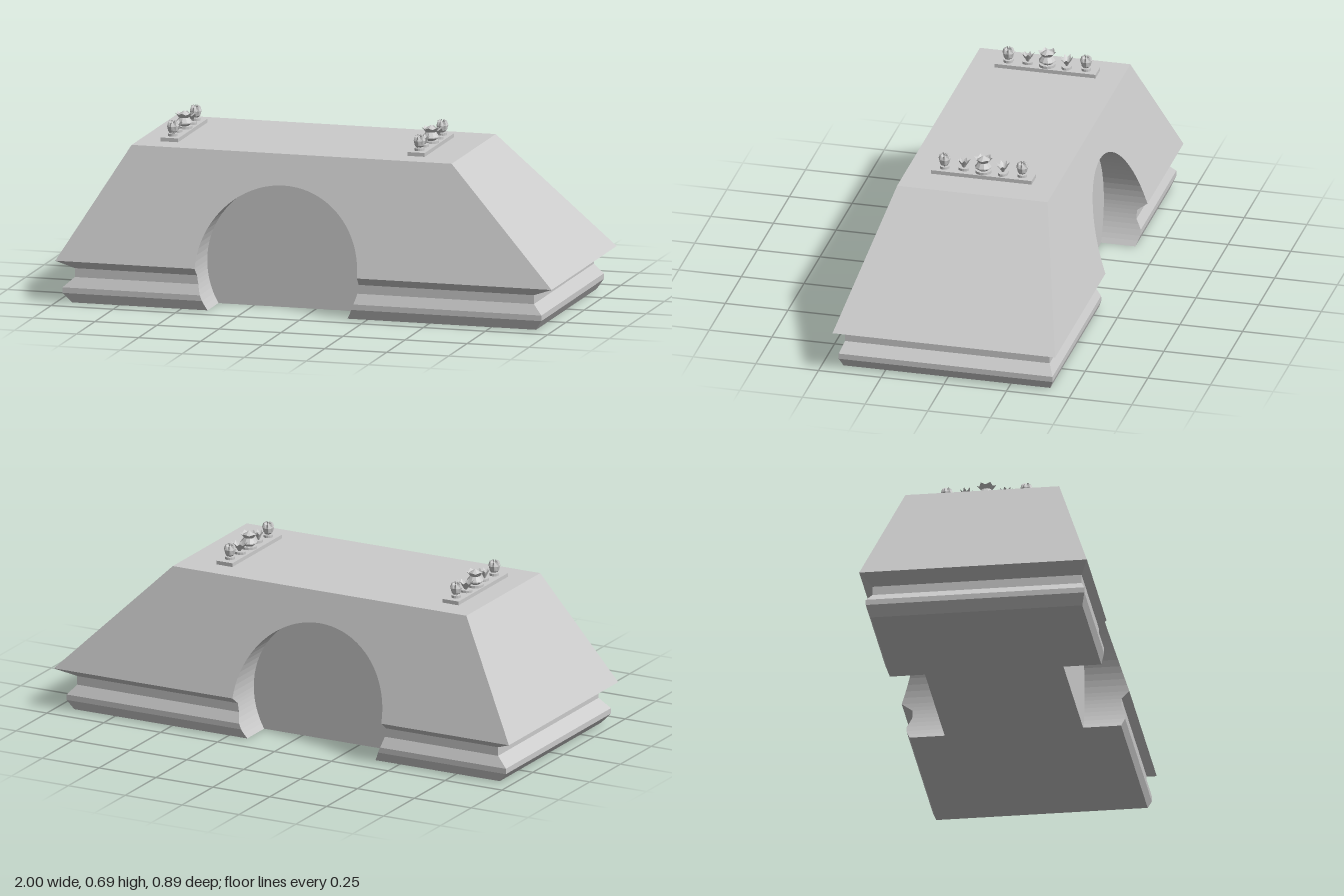
import * as THREE from 'three';

const material = new THREE.MeshStandardMaterial({ color: 0xcccccc, flatShading: true });
const thinMaterial = new THREE.MeshStandardMaterial({ color: 0xcccccc, flatShading: true, side: THREE.DoubleSide });

// Hull outline by height: [y, xLeftEdge, xRightEdge, zFront, zBack]
const PROFILE = [
  [0, -0.94, 0.93, 0.418, -0.407],
  [0.038, -0.975, 0.955, 0.431, -0.422],
  [0.06, -0.975, 0.955, 0.431, -0.422],
  [0.1, -0.93, 0.92, 0.414, -0.402],
  [0.135, -0.93, 0.92, 0.414, -0.402],
  [0.166, -1, 1, 0.444, -0.444],
  [0.61, -0.735, 0.555, 0.3, -0.3],
];
// Round recess cut into the front and back
const ARCH = { x: -0.112, y: 0.166, r: 0.327, z: 0.27 };

function hullAt(y) {
  let i = 1;
  while (i < PROFILE.length - 1 && PROFILE[i][0] < y) i++;
  const a = PROFILE[i - 1], b = PROFILE[i];
  const t = (y - a[0]) / (b[0] - a[0]);
  const [, xl, xr, zf, zb] = a.map((v, k) => v + (b[k] - v) * t);
  const h = Math.sqrt(Math.max(0, ARCH.r ** 2 - (y - ARCH.y) ** 2));
  const w = h < 1e-5 ? 0 : h;
  return { y, xl, xr, zf, zb, al: ARCH.x - w, ar: ARCH.x + w, w };
}

function hullGeometry() {
  const pos = [];
  const quad = (a, b, c, d) => pos.push(...a, ...b, ...c, ...a, ...c, ...d);

  // Heights: profile edges plus even steps around the arch
  const ys = PROFILE.map((p) => p[0]);
  const steps = 20;
  for (let i = 1; i <= steps; i++) ys.push(ARCH.y + ARCH.r * Math.sin((i / steps) * Math.PI / 2));
  ys.push(0.02, 0.08, 0.118, 0.15);
  ys.sort((a, b) => a - b);
  const rows = ys.map(hullAt);

  for (let i = 0; i < rows.length - 1; i++) {
    const p = rows[i], q = rows[i + 1];
    // Ends
    quad([p.xr, p.y, p.zf], [p.xr, p.y, p.zb], [q.xr, q.y, q.zb], [q.xr, q.y, q.zf]);
    quad([p.xl, p.y, p.zb], [p.xl, p.y, p.zf], [q.xl, q.y, q.zf], [q.xl, q.y, q.zb]);
    for (const s of [1, -1]) {
      const pz = s > 0 ? p.zf : p.zb, qz = s > 0 ? q.zf : q.zb, d = s * ARCH.z;
      // The back uses the reversed corner order
      const face = (a, b, c, e) => (s > 0 ? quad(a, b, c, e) : quad(e, c, b, a));
      // Outer skin on both sides of the arch
      face([p.xl, p.y, pz], [p.al, p.y, pz], [q.al, q.y, qz], [q.xl, q.y, qz]);
      face([p.ar, p.y, pz], [p.xr, p.y, pz], [q.xr, q.y, qz], [q.ar, q.y, qz]);
      if (p.w === 0) continue;
      // Recess walls and its flat inner face
      face([p.al, p.y, pz], [p.al, p.y, d], [q.al, q.y, d], [q.al, q.y, qz]);
      face([p.ar, p.y, d], [p.ar, p.y, pz], [q.ar, q.y, qz], [q.ar, q.y, d]);
      face([p.al, p.y, d], [p.ar, p.y, d], [q.ar, q.y, d], [q.al, q.y, d]);
    }
  }

  // Top deck and notched underside
  const t = rows[rows.length - 1], b = rows[0];
  quad([t.xl, t.y, t.zf], [t.xr, t.y, t.zf], [t.xr, t.y, t.zb], [t.xl, t.y, t.zb]);
  const under = (x0, x1, zf, zb) => quad([x0, 0, zb], [x1, 0, zb], [x1, 0, zf], [x0, 0, zf]);
  under(b.xl, b.al, b.zf, b.zb);
  under(b.al, b.ar, ARCH.z, -ARCH.z);
  under(b.ar, b.xr, b.zf, b.zb);

  const g = new THREE.BufferGeometry();
  g.setAttribute('position', new THREE.Float32BufferAttribute(pos, 3));
  g.computeVertexNormals();
  return g;
}

// Lathed form whose odd columns are pulled in, giving pleats and a jagged rim
function pleated(points, sides, pull, drop) {
  const g = new THREE.LatheGeometry(points.map(([r, y]) => new THREE.Vector2(r, y)), sides);
  const p = g.attributes.position, n = points.length;
  for (let i = 0; i < p.count; i++) {
    if (Math.floor(i / n) % 2 === 0) continue;
    const k = (i % n) / (n - 1);
    p.setXYZ(i, p.getX(i) * (1 - pull * k), p.getY(i) - drop * k * k, p.getZ(i) * (1 - pull * k));
  }
  g.computeVertexNormals();
  return g;
}

const budGeometry = pleated([[0.009, 0], [0.019, 0.01], [0.024, 0.03], [0.019, 0.046], [0.008, 0.052]], 14, 0.3, 0.01);
const budCoreGeometry = new THREE.ConeGeometry(0.015, 0.045, 6).translate(0, 0.025, 0);
const fanGeometry = pleated([[0.004, 0], [0.012, 0.014], [0.027, 0.036]], 14, 0.3, 0.012);
const urnGeometry = new THREE.LatheGeometry(
  [[0.018, 0], [0.033, 0.011], [0.033, 0.015], [0.02, 0.033]].map(([r, y]) => new THREE.Vector2(r, y)), 10);
const urnCrownGeometry = pleated([[0.02, 0.033], [0.037, 0.053]], 12, 0.2, 0.008);
const urnTipGeometry = new THREE.ConeGeometry(0.027, 0.018, 8).translate(0, 0.051, 0);

function ornament(name, z, footRadius, geometries) {
  const group = new THREE.Group();
  group.name = name;
  const foot = new THREE.Mesh(new THREE.CylinderGeometry(footRadius, footRadius, 0.01, 14), material);
  foot.name = 'ornamentFoot';
  foot.position.y = 0.005;
  group.add(foot);
  for (const g of geometries) {
    const m = new THREE.Mesh(g, thinMaterial);
    m.name = name + 'Part';
    m.position.y = 0.01;
    group.add(m);
  }
  group.position.z = z;
  return group;
}

function ornamentRow(name, x) {
  const row = new THREE.Group();
  row.name = name;
  const base = new THREE.Mesh(new THREE.BoxGeometry(0.07, 0.015, 0.402), material);
  base.name = 'ornamentBase';
  base.position.y = 0.0075;
  row.add(base);

  const items = new THREE.Group();
  items.name = 'ornaments';
  items.position.y = 0.015;
  for (const s of [1, -1]) {
    items.add(ornament('bud', s * 0.155, 0.019, [budGeometry, budCoreGeometry]));
    const fan = ornament('fan', s * 0.078, 0.021, [fanGeometry]);
    // The rear fan is stretched across the row
    fan.scale.x = s > 0 ? 0.7 : 1.3;
    fan.scale.z = s > 0 ? 1 : 0.95;
    items.add(fan);
  }
  items.add(ornament('urn', 0, 0.032, [urnGeometry, urnCrownGeometry, urnTipGeometry]));
  row.add(items);
  row.position.set(x, 0.61, 0);
  return row;
}

export function createModel() {
  const model = new THREE.Group();
  model.name = 'archedBlock';
  const hull = new THREE.Mesh(hullGeometry(), material);
  hull.name = 'hull';
  model.add(hull, ornamentRow('rightOrnamentRow', -0.612), ornamentRow('leftOrnamentRow', 0.382));
  return model;
}
